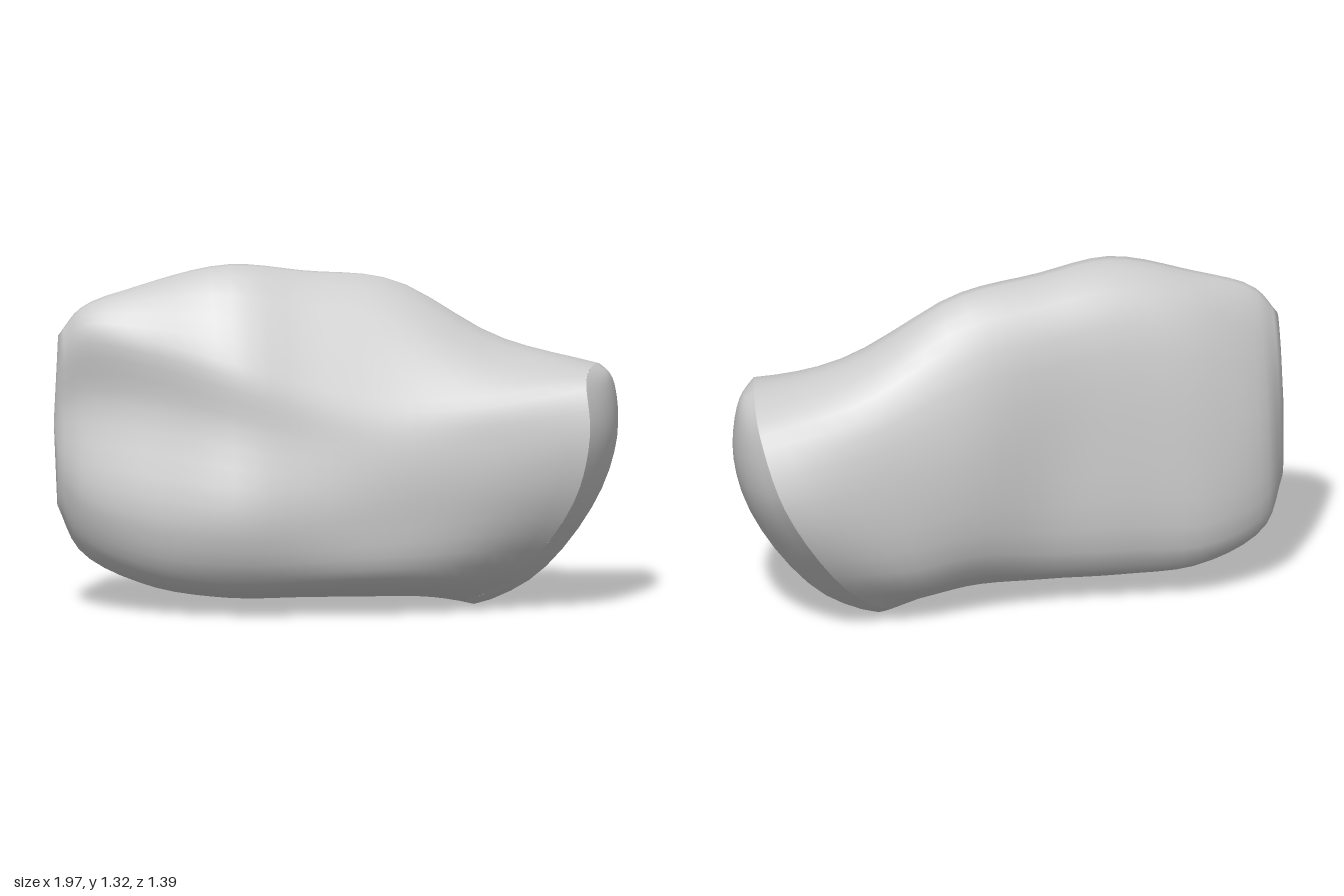
import * as THREE from 'three';

// Body runs along a horizontal axis turned 30 degrees: u along, v across (towards the front).
const C = Math.cos(Math.PI / 6), S = Math.sin(Math.PI / 6);
const place = (u, v, y) => new THREE.Vector3(C * u - S * v, y, S * u + C * v);

// Rim of the cut end: [u, v, y], from the bottom, up the front, over the top, down the back.
const CUT = [
  [0.39, -0.05, 0], [0.6, 0.12, 0.12], [0.81, 0.27, 0.42], [0.87, 0.3, 0.68], [0.86, 0.23, 0.88],
  [0.91, 0.03, 0.92], [0.95, -0.22, 0.83], [0.89, -0.37, 0.58], [0.62, -0.25, 0.18],
];
const TOP = 5 / CUT.length;
const CUT_NORMAL = new THREE.Vector3(0.67, -0.49, 0.55);

// Cross-sections: position and outline as [v, y], with points in the same order as the rim.
const SECTIONS = [
  { u: -1.14, p: [[-0.05, 0.38], [0, 0.41], [0.03, 0.52], [0.01, 0.75], [0.03, 0.96], [0, 1.04], [-0.05, 0.92], [-0.09, 0.62], [-0.08, 0.41]] },
  { u: -1.05, p: [[-0.07, 0.2], [0.06, 0.25], [0.15, 0.44], [0.07, 0.78], [0.1, 1.06], [0.01, 1.15], [-0.09, 1.0], [-0.19, 0.62], [-0.17, 0.25]] },
  { u: -0.8, p: [[0, 0.08], [0.22, 0.15], [0.31, 0.38], [0.2, 0.78], [0.2, 1.04], [0.03, 1.24], [-0.13, 1.14], [-0.26, 0.62], [-0.24, 0.16]] },
  { u: -0.5, p: [[0.06, 0.04], [0.32, 0.12], [0.42, 0.36], [0.34, 0.72], [0.31, 0.97], [0.07, 1.31], [-0.14, 1.2], [-0.26, 0.68], [-0.22, 0.15]] },
  { u: -0.2, p: [[0.05, 0.04], [0.33, 0.13], [0.4, 0.36], [0.36, 0.66], [0.31, 0.88], [0.04, 1.28], [-0.16, 1.17], [-0.25, 0.65], [-0.2, 0.16]] },
  { u: 0.12, p: [[0.05, 0.04], [0.32, 0.14], [0.37, 0.38], [0.36, 0.63], [0.3, 0.82], [0, 1.24], [-0.18, 1.12], [-0.31, 0.68], [-0.24, 0.2]] },
  { u: 0.47, p: [[0, 0.03], [0.25, 0.13], [0.33, 0.42], [0.33, 0.65], [0.28, 0.83], [0.02, 1.02], [-0.22, 0.92], [-0.33, 0.6], [-0.27, 0.18]] },
];

const AROUND = 45, ALONG = 30, CUT_ROWS = 20, CUT_COLS = 12;

// List of n + 1 values of f at even steps from 0 to 1
const steps = (n, f) => Array.from({ length: n + 1 }, (_, i) => f(i / n));
const closedCurve = (points) => new THREE.CatmullRomCurve3(points, true, 'centripetal');
const sample = (curve) => steps(AROUND, (t) => curve.getPoint(t)).slice(0, AROUND);

// Smooth skin over rows of points; closed rows wrap around
function skin(rows, closed, name, material) {
  const n = rows[0].length, index = [];
  for (let k = 0; k < rows.length - 1; k++) {
    for (let i = 0; i < (closed ? n : n - 1); i++) {
      const a = k * n + i, b = k * n + (i + 1) % n;
      index.push(a, a + n, b, b, a + n, b + n);
    }
  }
  const geometry = new THREE.BufferGeometry().setFromPoints(rows.flat());
  geometry.setIndex(index);
  geometry.computeVertexNormals();
  const mesh = new THREE.Mesh(geometry, material);
  mesh.name = name;
  return mesh;
}

export function createModel() {
  const group = new THREE.Group();
  group.name = 'cutChunk';
  const material = new THREE.MeshStandardMaterial({ color: 0xcccccc, side: THREE.DoubleSide });

  // Sections near the cut lean with it
  const rim = closedCurve(CUT.map(([u, v, y]) => place(u, v, y)));
  const sections = SECTIONS.map(({ u, p }) => sample(closedCurve(
    p.map(([v, y], i) => place(u + 1.2 * Math.max(0, u) * (CUT[i][0] - 0.8), v, y)))));
  sections.push(sample(rim));

  // Body: a smooth line through the same point of every section, closed at the rounded end
  const lines = sections[0].map((_, i) =>
    new THREE.CatmullRomCurve3(sections.map((r) => r[i]), false, 'centripetal'));
  const rings = steps(ALONG, (t) => lines.map((l) => l.getPoint(t)));
  const tip = place(-1.155, -0.03, 0.7);
  rings.unshift(lines.map(() => tip));
  group.add(skin(rings, true, 'body', material));

  // Cut face: bulging strips from the back of the rim to its front
  const face = steps(CUT_ROWS, (t) => {
    const front = rim.getPoint(TOP * t), back = rim.getPoint(1 - (1 - TOP) * t);
    const bulge = 0.11 * Math.sqrt(Math.max(0, Math.sin(Math.PI * t)));
    return steps(CUT_COLS, (s) =>
      back.clone().lerp(front, s).addScaledVector(CUT_NORMAL, bulge * 4 * s * (1 - s)));
  });
  group.add(skin(face, false, 'cutFace', material));
  return group;
}
